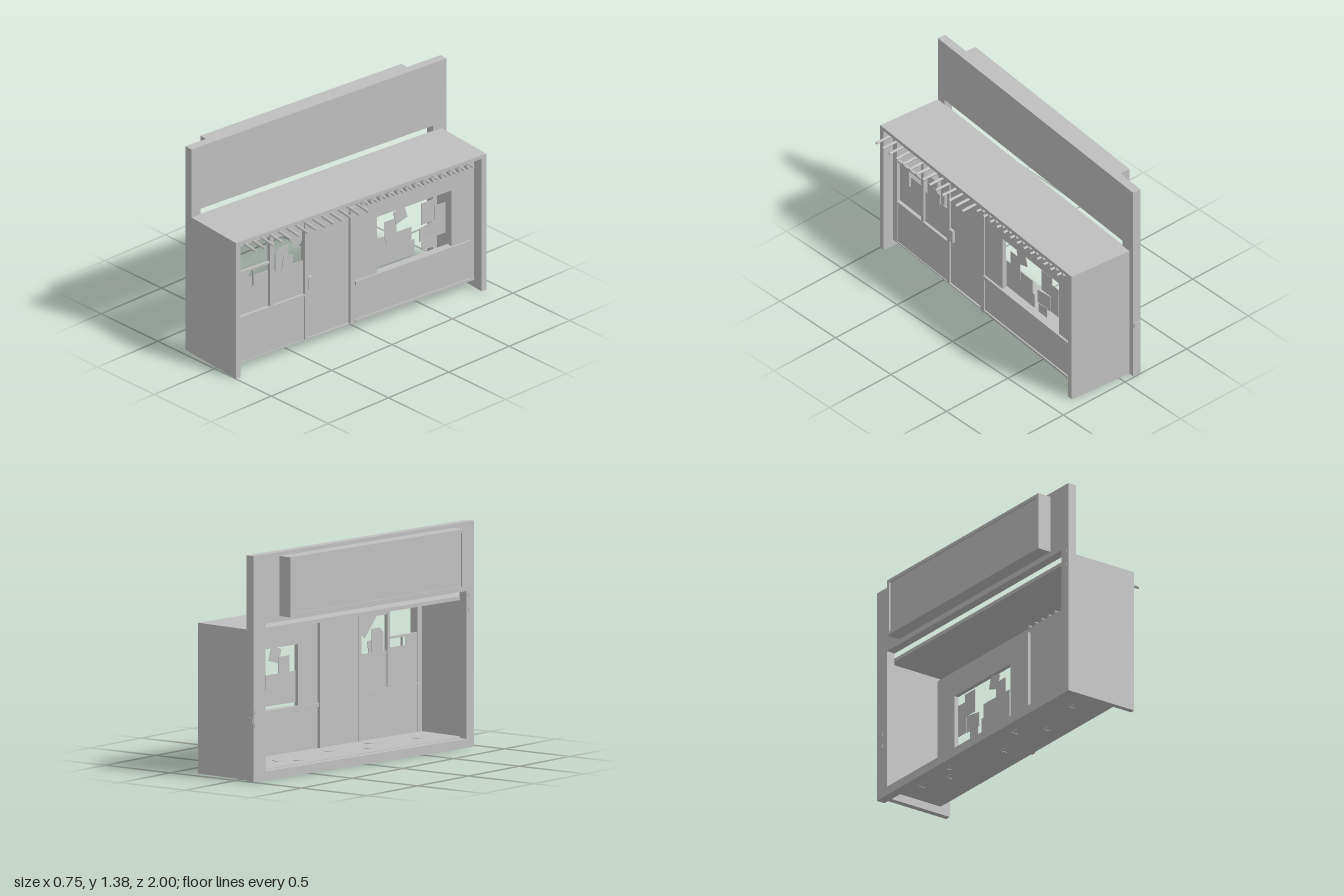
import * as THREE from 'three';

const grey = new THREE.MeshStandardMaterial({ color: 0xbfbfbf, flatShading: true });
grey.name = 'plain grey';

function add(parent, name, geometry) {
  const mesh = new THREE.Mesh(geometry, grey);
  mesh.name = name;
  parent.add(mesh);
  return mesh;
}

// Box given by its limits on each axis
function box(parent, name, x0, x1, y0, y1, z0, z1) {
  const m = add(parent, name, new THREE.BoxGeometry(x1 - x0, y1 - y0, Math.abs(z1 - z0)));
  m.position.set((x0 + x1) / 2, (y0 + y1) / 2, (z0 + z1) / 2);
  return m;
}

// Thin plate facing +x, drawn as [z, y] corners
function plate(parent, name, x, points) {
  const shape = new THREE.Shape(points.map(([z, y]) => new THREE.Vector2(-z, y)));
  const g = new THREE.ExtrudeGeometry(shape, { depth: 0.004, bevelEnabled: false });
  g.rotateY(Math.PI / 2);
  const m = add(parent, name, g);
  m.position.x = x;
  return m;
}

function buildShell(g) {
  box(g, 'roof', -0.165, 0.275, 0.897, 0.92, -0.943, 0.979);
  box(g, 'frontEndWall', -0.165, 0.275, 0, 0.897, 0.946, 0.979);
  box(g, 'backEndWall', -0.165, 0.275, 0, 0.897, -0.943, -0.906);
  box(g, 'floor', -0.165, 0.205, 0.05, 0.058, -0.906, 0.946);

  // Open rear frame with the tall fascia above the roof
  box(g, 'rearPost', -0.217, -0.16, 0, 0.957, 0.91, 0.979);
  box(g, 'rearPost', -0.217, -0.16, 0, 0.957, -0.98, -0.875);
  box(g, 'rearSill', -0.217, -0.16, 0, 0.055, -0.875, 0.91);
  box(g, 'fascia', -0.217, -0.16, 0.957, 1.38, -0.98, 0.979);

  // Sign box with a raised rim
  box(g, 'signBox', -0.297, -0.217, 0.99, 1.357, -0.751, 0.795);
  box(g, 'signRim', -0.307, -0.297, 1.337, 1.357, -0.751, 0.795);
  box(g, 'signRim', -0.307, -0.297, 0.99, 1.01, -0.751, 0.795);
  box(g, 'signRim', -0.307, -0.297, 1.01, 1.337, -0.751, -0.731);
  box(g, 'signRim', -0.307, -0.297, 1.01, 1.337, 0.775, 0.795);

  // Small fittings on the posts and scraps on the floor
  box(g, 'postBracket', -0.212, -0.165, 0.36, 0.395, -0.986, -0.98);
  for (const y of [0.33, 0.41]) box(g, 'postPlate', -0.221, -0.217, y, y + 0.025, -0.97, -0.92);
  for (const y of [0.83, 0.92]) box(g, 'postPlate', -0.221, -0.217, y, y + 0.025, 0.925, 0.965);
  const scraps = [[-0.08, -0.75], [-0.02, -0.55], [-0.1, -0.45], [0.02, -0.05], [-0.08, 0.2], [0.05, 0.35], [-0.02, 0.7]];
  for (const [x, z] of scraps) {
    box(g, 'floorScrap', x, x + 0.05, 0.047, 0.061, z, z + 0.008);
    box(g, 'floorScrap', x, x + 0.008, 0.047, 0.061, z, z + 0.05);
  }
}

function buildShopfront(g) {
  // Window bays to the left of the door
  box(g, 'header', 0.18, 0.205, 0.84, 0.875, -0.885, 0.962);
  box(g, 'cornerMullion', 0.18, 0.205, 0.055, 0.84, 0.922, 0.962);
  box(g, 'bayPanel', 0.182, 0.2, 0.055, 0.36, 0.395, 0.922);
  box(g, 'bayRail', 0.18, 0.207, 0.35, 0.362, 0.415, 0.922);
  box(g, 'bayMullion', 0.18, 0.205, 0.36, 0.84, 0.655, 0.68);
  box(g, 'windowRail', 0.182, 0.2, 0.652, 0.665, 0.68, 0.922);
  box(g, 'windowHead', 0.182, 0.2, 0.805, 0.84, 0.415, 0.655);
  box(g, 'doorJamb', 0.172, 0.208, 0.055, 0.84, 0.392, 0.415);

  // Door
  box(g, 'door', 0.178, 0.194, 0.055, 0.84, 0.07, 0.392);
  box(g, 'doorHead', 0.18, 0.205, 0.81, 0.84, 0.07, 0.392);
  box(g, 'doorHandle', 0.194, 0.212, 0.385, 0.47, 0.355, 0.39);
  box(g, 'doorPost', 0.16, 0.215, 0.05, 0.84, 0.035, 0.07);

  // Main wall around its wide window
  box(g, 'mainWallLower', 0.18, 0.208, 0.055, 0.335, -0.885, 0.035);
  box(g, 'mainWallUpper', 0.18, 0.208, 0.712, 0.84, -0.885, 0.035);
  box(g, 'mainWallSide', 0.18, 0.208, 0.335, 0.712, -0.14, 0.035);
  box(g, 'mainWallSide', 0.18, 0.208, 0.335, 0.712, -0.885, -0.71);
  box(g, 'windowSill', 0.17, 0.222, 0.31, 0.335, -0.855, 0.035);
  box(g, 'kickRail', 0.205, 0.217, 0.058, 0.074, -0.855, 0.035);

  // Sheets standing behind the windows
  const sheets = [
    [[0.92, 0.36], [0.68, 0.36], [0.68, 0.6], [0.82, 0.6], [0.82, 0.655], [0.92, 0.655]],
    [[0.655, 0.36], [0.415, 0.36], [0.415, 0.585], [0.655, 0.585]],
    [[0.63, 0.58], [0.53, 0.58], [0.53, 0.73], [0.6, 0.73], [0.63, 0.7]],
    [[0.585, 0.575], [0.51, 0.56], [0.495, 0.655], [0.57, 0.67]],
    [[0.56, 0.805], [0.42, 0.805], [0.42, 0.72], [0.455, 0.68]],
    [[-0.155, 0.36], [-0.44, 0.36], [-0.44, 0.46], [-0.42, 0.46], [-0.42, 0.55], [-0.155, 0.55]],
    [[-0.225, 0.485], [-0.3, 0.485], [-0.3, 0.65], [-0.205, 0.65], [-0.205, 0.55]],
    [[-0.295, 0.61], [-0.38, 0.635], [-0.355, 0.72], [-0.27, 0.695]],
    [[-0.5, 0.535], [-0.605, 0.535], [-0.605, 0.68], [-0.5, 0.68]],
    [[-0.6, 0.43], [-0.68, 0.43], [-0.68, 0.635], [-0.6, 0.635]],
    [[-0.475, 0.43], [-0.6, 0.43], [-0.6, 0.54], [-0.53, 0.53], [-0.475, 0.52]],
    [[-0.49, 0.37], [-0.575, 0.37], [-0.575, 0.44], [-0.49, 0.43]],
  ];
  sheets.forEach((s, i) => plate(g, 'windowSheet', 0.18 + 0.005 * (i % 4), s));
  box(g, 'windowHook', 0.19, 0.205, 0.54, 0.65, 0.8, 0.806);
}

function buildEaves(g) {
  // Long rods over the left bays
  for (let i = 0; i < 14; i++) {
    const rod = add(g, 'longRod', new THREE.CylinderGeometry(0.009, 0.009, 0.19, 6));
    rod.rotation.z = Math.PI / 2 - 0.06;
    rod.position.set(0.272, 0.88, 0.035 + i * 0.0662);
  }
  // Short rods with six-sided ends over the main wall
  for (let i = 0; i < 13; i++) {
    const z = -0.02 - i * 0.0672;
    const rod = add(g, 'shortRod', new THREE.CylinderGeometry(0.008, 0.008, 0.11, 6));
    rod.rotation.z = Math.PI / 2;
    rod.position.set(0.244, 0.875, z);
    const cap = add(g, 'rodCollar', new THREE.CylinderGeometry(0.026, 0.026, 0.05, 6));
    cap.rotation.z = Math.PI / 2;
    cap.position.set(0.242, 0.869, z);
  }
}

export function createModel() {
  const model = new THREE.Group();
  model.name = 'shop';
  const body = new THREE.Group();
  body.name = 'body';
  body.rotation.y = -THREE.MathUtils.degToRad(5);
  model.add(body);

  const shell = new THREE.Group();
  shell.name = 'shell';
  buildShell(shell);
  const shopfront = new THREE.Group();
  shopfront.name = 'shopfront';
  shopfront.position.z = -0.0175;
  buildShopfront(shopfront);
  const eaves = new THREE.Group();
  eaves.name = 'eaves';
  buildEaves(eaves);
  body.add(shell, shopfront, eaves);
  return model;
}
